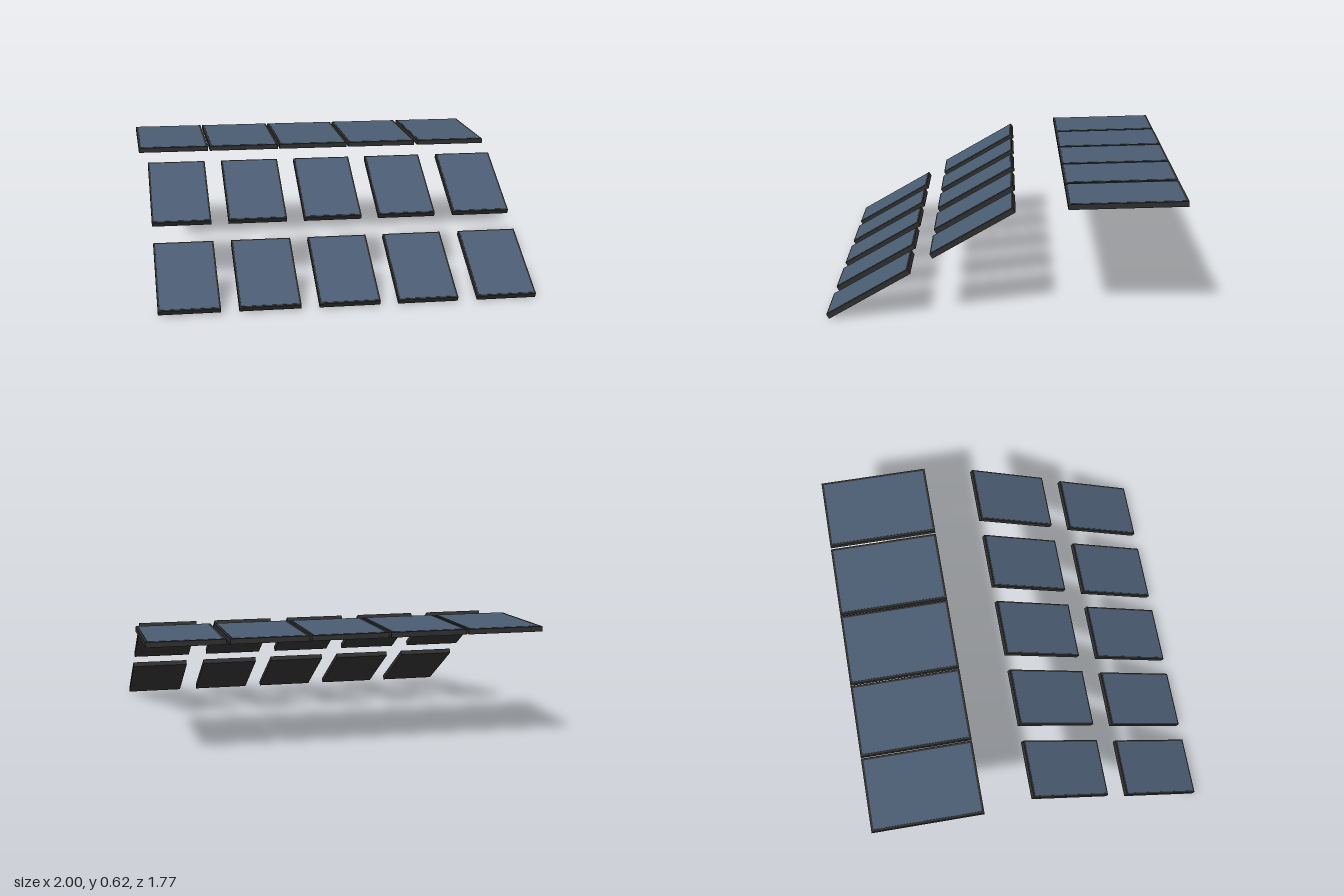
import * as THREE from 'three';

const frameMat = new THREE.MeshStandardMaterial({ color: 0x2e2e2e });
frameMat.name = 'dark frame';
const glassMat = new THREE.MeshStandardMaterial({ color: 0x4a5c72 });
glassMat.name = 'blue glass';

const THICK = 0.026;
const COLUMNS = [-0.804, -0.405, -0.005, 0.395, 0.803];

// One panel: a dark slab with a thin glass plate on its upper face
function panel(name, width, length, border) {
  const group = new THREE.Group();
  group.name = name;
  const frame = new THREE.Mesh(new THREE.BoxGeometry(width, THICK, length), frameMat);
  frame.name = 'panelFrame';
  const glass = new THREE.Mesh(
    new THREE.BoxGeometry(width - 2 * border, 0.002, length - 2 * border), glassMat);
  glass.name = 'panelGlass';
  glass.position.y = THICK / 2 + 0.0005;
  group.add(frame, glass);
  return group;
}

// Rows from front to back; tilt lowers the front edge
const ROWS = [
  { name: 'lowerPanel', width: 0.308, length: 0.468, border: 0.009, y: 0.132, z: 0.671, tilt: 30 },
  { name: 'upperPanel', width: 0.308, length: 0.468, border: 0.009, y: 0.444, z: 0.157, tilt: 30 },
  { name: 'roofPanel', width: 0.389, length: 0.58, border: 0.012, y: 0.595, z: -0.594, tilt: 1.6 },
];

export function createModel() {
  const model = new THREE.Group();
  model.name = 'solarPanelArray';
  // the whole array sits very slightly askew
  const array = new THREE.Group();
  array.name = 'panelRows';
  array.rotation.set(0, -0.005, -0.004);
  for (const row of ROWS) {
    COLUMNS.forEach((x, i) => {
      const p = panel(`${row.name}${i + 1}`, row.width, row.length, row.border);
      p.position.set(x, row.y, row.z);
      p.rotation.x = THREE.MathUtils.degToRad(row.tilt);
      array.add(p);
    });
  }
  model.add(array);
  return model;
}
